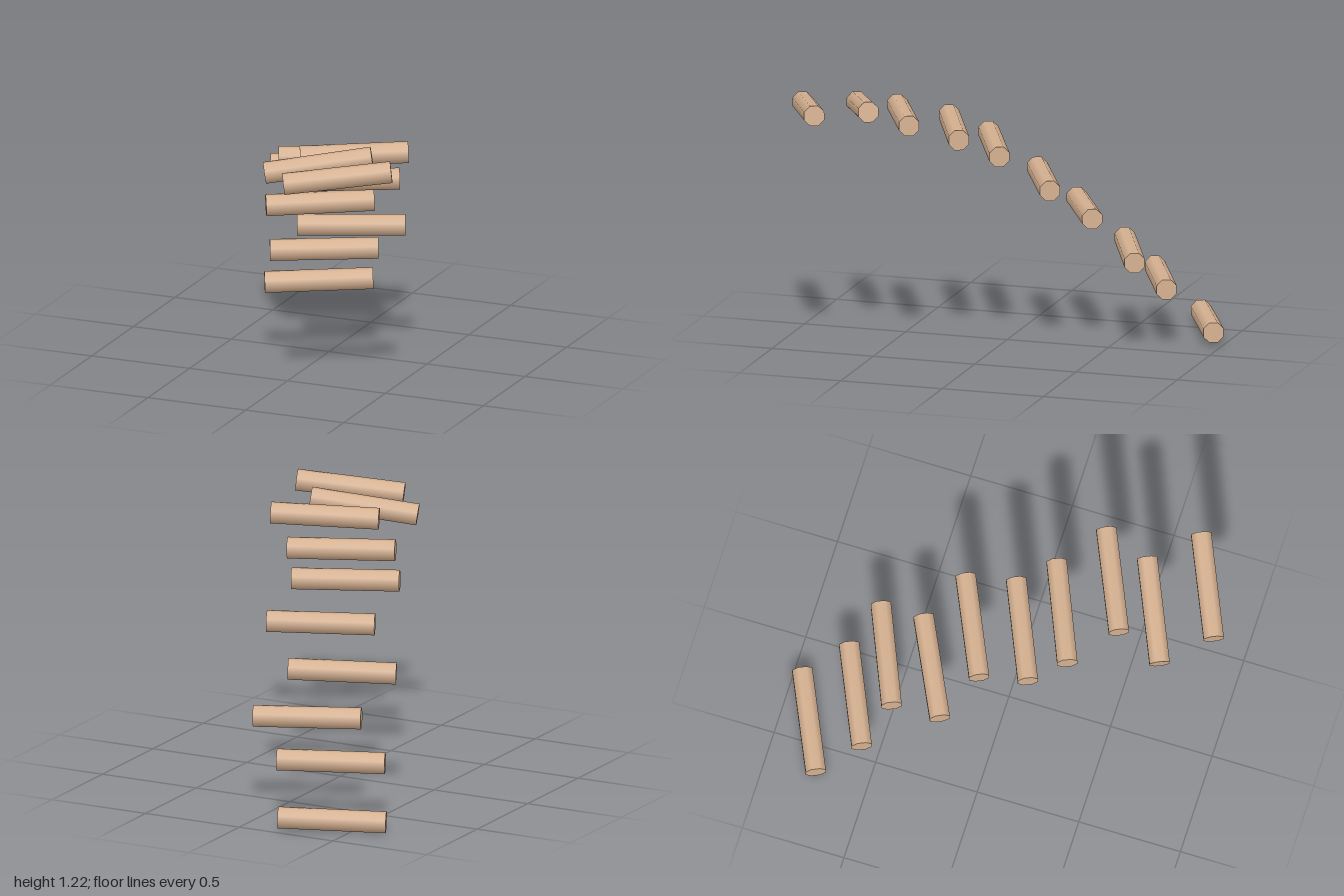
import * as THREE from 'three';

const LENGTH = 0.51;
const RADIUS = 0.0515;

// Each log: centre x, y, z, yaw in degrees, rise from its right end to its left end
const LOGS = [
  [-0.416, 0.057, -0.854, 24.5, 0.015],
  [-0.306, 0.280, -0.660, 24, 0.008],
  [-0.128, 0.448, -0.564, 23, 0],
  [-0.184, 0.620, -0.323, 26, 0.018],
  [0.006, 0.796, -0.182, 24.5, 0.008],
  [0.005, 0.946, 0.063, 23.5, 0],
  [0.115, 1.040, 0.225, 23, 0],
  [0.305, 1.130, 0.415, 24, 0.02],
  [0.218, 1.132, 0.643, 24, 0.073],
  [0.404, 1.151, 0.851, 24, 0.056],
];

export function createModel() {
  const model = new THREE.Group();
  model.name = 'logSteps';

  const wood = new THREE.MeshStandardMaterial({ color: 0xd6b191 });
  wood.name = 'paleWood';

  // Eight-sided log lying along x, with a flat side facing up
  const log = new THREE.CylinderGeometry(RADIUS, RADIUS, LENGTH, 8);
  log.rotateY(Math.PI / 8);
  log.rotateZ(-Math.PI / 2);

  // Arching run of separate log steps
  LOGS.forEach(([x, y, z, yaw, rise], i) => {
    const step = new THREE.Mesh(log, wood);
    step.name = `logStep${i + 1}`;
    step.position.set(x, y, z);
    step.rotation.order = 'YZX';
    step.rotation.set(0, THREE.MathUtils.degToRad(yaw), Math.asin(rise / LENGTH));
    model.add(step);
  });

  return model;
}
